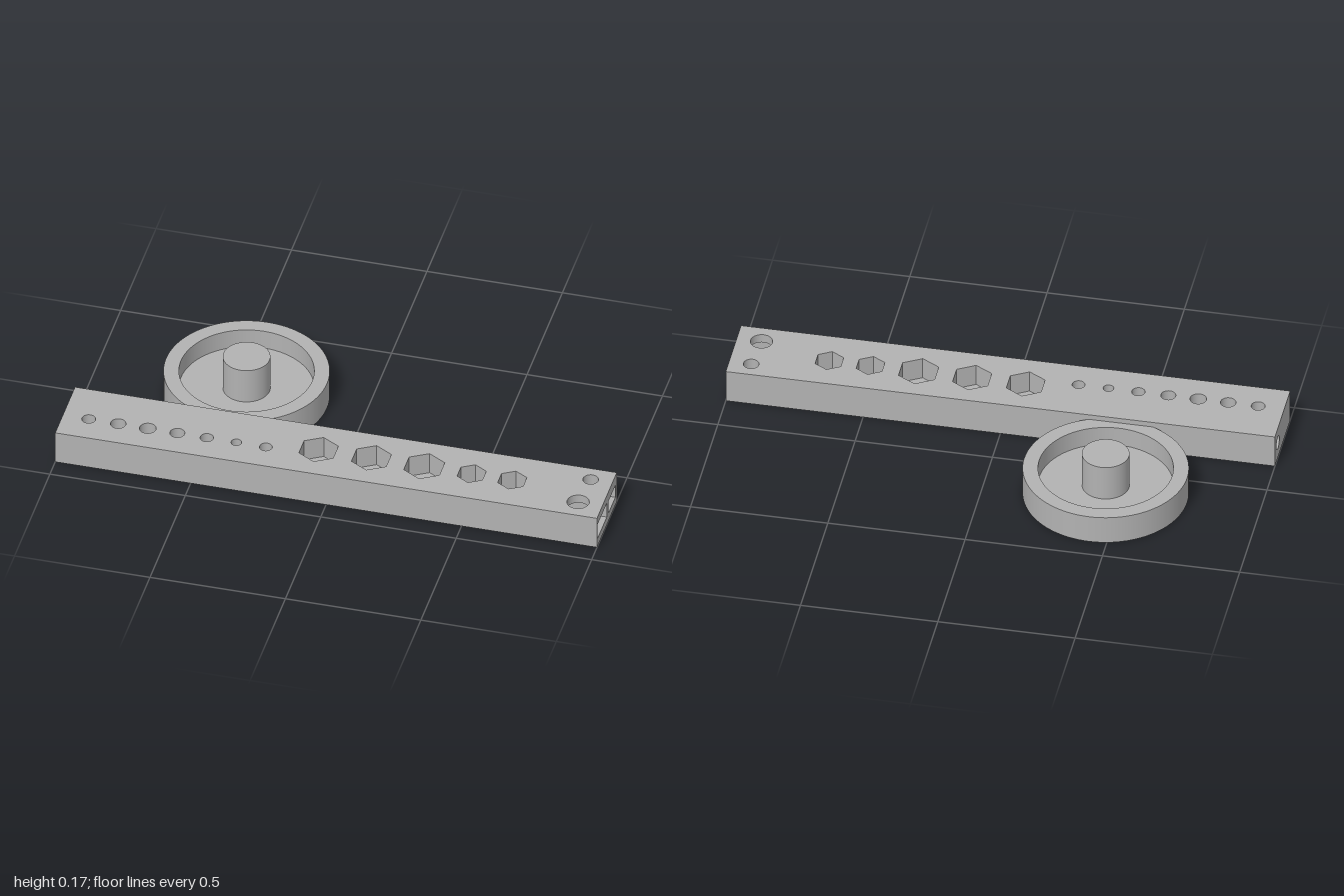
import * as THREE from 'three';
import { mergeGeometries } from 'three/addons/utils/BufferGeometryUtils.js';

const H = 0.13, Z0 = 0.145, Z1 = 0.425, SEG = 32;

// Corner lists: a ring of n points, or a rectangle
const ring = (a, b, r, n = SEG) => Array.from({ length: n }, (_, i) => {
  const t = (i / n) * Math.PI * 2;
  return [a + r * Math.sin(t), b + r * Math.cos(t)];
});
const rect = (a0, b0, a1, b1) => [[a0, b0], [a1, b0], [a1, b1], [a0, b1]];

// Flat face with holes; map turns each corner into shape coordinates
function flat(outline, holes, map) {
  const toPoints = (list) => list.map(([a, b]) => new THREE.Vector2(...map(a, b)));
  const shape = new THREE.Shape(toPoints(outline));
  shape.holes = holes.map((h) => new THREE.Path(toPoints(h)));
  return new THREE.ShapeGeometry(shape);
}
// Faces looking along s*y (corners x, z), s*x (corners z, y) and s*z (corners x, y)
const faceY = (s, y, outline, holes = []) =>
  flat(outline, holes, (x, z) => [x, -s * z]).rotateX(-s * Math.PI / 2).translate(0, y, 0);
const faceX = (s, x, outline, holes = []) =>
  flat(outline, holes, (z, y) => [-s * z, y]).rotateY(s * Math.PI / 2).translate(x, 0, 0);
const faceZ = (s, z, outline) =>
  flat(outline, [], (x, y) => [s * x, y]).rotateY(s > 0 ? 0 : Math.PI).translate(0, 0, z);

// Inward-facing wall of an upright hole from y0 to y1
function bore(x, z, r, y0, y1, n = SEG) {
  const geo = new THREE.LatheGeometry([new THREE.Vector2(r, y1), new THREE.Vector2(r, y0)], n)
    .translate(x, 0, z);
  if (n > 6) return geo;
  const sharp = geo.toNonIndexed();
  sharp.computeVertexNormals();
  return sharp;
}

export function createModel() {
  const model = new THREE.Group();
  const grey = new THREE.MeshStandardMaterial({ color: 0xb2b2b2 });
  grey.name = 'grey';
  const add = (name, geos) => {
    const mesh = new THREE.Mesh(
      mergeGeometries(geos.map((g) => (g.index ? g.toNonIndexed() : g))), grey);
    mesh.name = name;
    model.add(mesh);
  };

  // Row of plain through holes: radius by position
  const plain = [0.025, 0.028, 0.03, 0.027, 0.024, 0.019, 0.023]
    .map((r, i) => ({ x: -0.905 + i * 0.109, z: 0.315, r }));
  // Hexagonal nut recesses with a through hole
  const nuts = [[-0.065, 0.073, 0.04], [0.13, 0.074, 0.04], [0.325, 0.076, 0.04],
    [0.5, 0.054, 0.029], [0.65, 0.054, 0.029]].map(([x, R, r]) => ({ x, z: 0.282, R, r }));
  // Slots in the end, each crossed by a through hole
  const slots = [
    { x: 0.91, z: 0.347, r: 0.04, x0: 0.835, z0: 0.286, z1: 0.415, y0: 0.034, y1: 0.096 },
    { x: 0.92, z: 0.208, r: 0.028, x0: 0.865, z0: 0.165, z1: 0.26, y0: 0.034, y1: 0.087 },
  ];
  const circle = (h) => ring(h.x, h.z, h.r);
  const hexagon = (h) => ring(h.x, h.z, h.R, 6);
  const slotMouth = (s) => rect(s.z0, s.y0, s.z1, s.y1);
  const outline = rect(-1, Z0, 1, Z1), side = rect(-1, 0, 1, H), end = rect(Z0, 0, Z1, H);
  const endHole = ring(0.2, 0.065, 0.026);

  // Outer skin of the bar
  add('bar', [
    faceY(1, H, outline, [...plain.map(circle), ...nuts.map(hexagon), ...slots.map(circle)]),
    faceY(-1, 0, outline, [...plain, ...nuts, ...slots].map(circle)),
    faceZ(1, Z1, side),
    faceZ(-1, Z0, side),
    faceX(1, 1, end, slots.map(slotMouth)),
    faceX(-1, -1, end, [endHole]),
  ]);

  add('throughHoles', plain.map((h) => bore(h.x, h.z, h.r, 0, H)));

  const seat = 0.045;
  add('nutRecesses', nuts.flatMap((h) => [
    bore(h.x, h.z, h.R, seat, H, 6),
    faceY(1, seat, hexagon(h), [circle(h)]),
    bore(h.x, h.z, h.r, 0, seat),
  ]));

  add('endSlots', slots.flatMap((s) => {
    const plan = rect(s.x0, s.z0, 1, s.z1), wall = rect(s.x0, s.y0, 1, s.y1);
    return [
      faceY(1, s.y0, plan, [circle(s)]),
      faceY(-1, s.y1, plan, [circle(s)]),
      faceX(1, s.x0, slotMouth(s)),
      faceZ(1, s.z0, wall),
      faceZ(-1, s.z1, wall),
      bore(s.x, s.z, s.r, 0, s.y0),
      bore(s.x, s.z, s.r, s.y1, H),
    ];
  }));

  // Blind round hole in the other end
  add('endHole', [
    bore(0, 0, 0.026, 0, 0.8).rotateZ(-Math.PI / 2).translate(-1, 0.065, 0.2),
    faceX(-1, -0.2, endHole),
  ]);

  // Round dish with a central post, one lathe per profile segment for sharp edges
  const profile = [[0, 0], [0.297, 0], [0.297, 0.11], [0.242, 0.11], [0.242, 0.035],
    [0.085, 0.035], [0.085, 0.175], [0, 0.175]].map((p) => new THREE.Vector2(...p));
  add('dishWithPost', profile.slice(1).map((p, i) =>
    new THREE.LatheGeometry([profile[i], p], 96).translate(-0.438, 0, -0.128)));

  return model;
}
